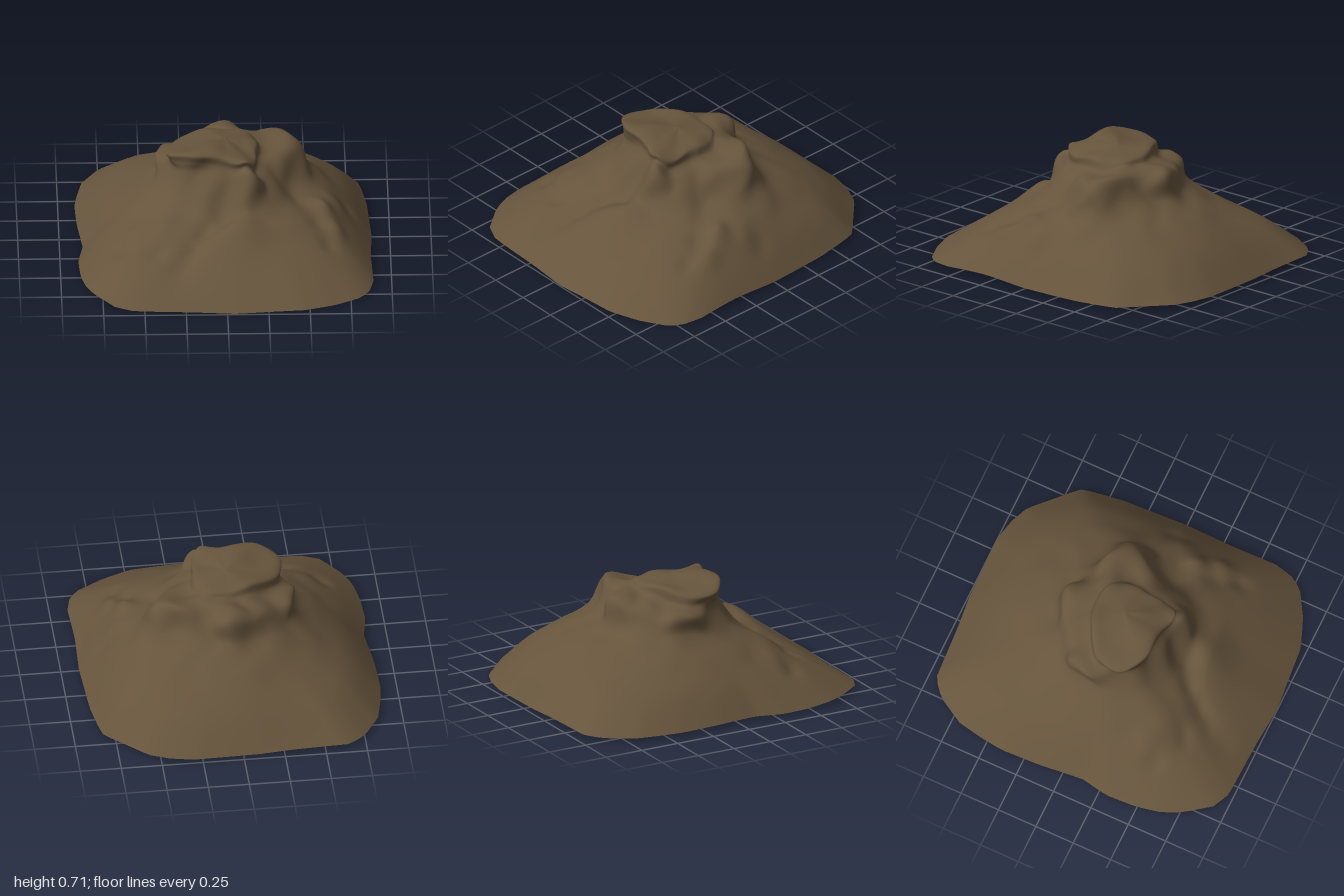
import * as THREE from 'three';

// plan outline of the foot of the hill (x, z), going from +x towards +z
const RIM = [
  [0.89, 0], [0.88, 0.3], [0.89, 0.6], [0.86, 0.73], [0.8, 0.8], [0.65, 0.89], [0.47, 0.96], [0.25, 0.98],
  [0.05, 1], [-0.2, 0.98], [-0.57, 0.97], [-0.68, 0.92], [-0.8, 0.76], [-0.85, 0.65], [-0.88, 0.5], [-0.89, 0.3],
  [-0.86, 0.13], [-0.89, -0.15], [-0.9, -0.4], [-0.88, -0.55], [-0.85, -0.7], [-0.75, -0.87], [-0.65, -0.95],
  [-0.3, -0.97], [-0.1, -0.99], [0.31, -1], [0.45, -0.97], [0.57, -0.92], [0.82, -0.68], [0.84, -0.6], [0.87, -0.4],
];

// radius and height of the terraces at 16 equal compass steps from +x towards +z
const RIM_Y = [0.02, 0.03, 0.01, 0.015, 0.015, 0.02, 0.03, 0.02, 0.03, 0.03, 0.03, 0.035, 0.035, 0.035, 0.03, 0.02];
const SLOPE_R = [0.63, 0.66, 0.68, 0.58, 0.56, 0.58, 0.66, 0.62, 0.58, 0.6, 0.66, 0.62, 0.62, 0.64, 0.72, 0.66];
const SLOPE_Y = [0.31, 0.3, 0.28, 0.31, 0.32, 0.28, 0.28, 0.29, 0.31, 0.31, 0.3, 0.33, 0.35, 0.34, 0.31, 0.31];
const CLIFF_R = [0.5, 0.45, 0.46, 0.44, 0.4, 0.4, 0.42, 0.43, 0.42, 0.43, 0.44, 0.42, 0.43, 0.42, 0.44, 0.56];
const CLIFF_Y = [0.4, 0.38, 0.4, 0.39, 0.38, 0.39, 0.42, 0.43, 0.44, 0.45, 0.44, 0.45, 0.45, 0.46, 0.47, 0.42];
const LEDGE_R = [0.37, 0.29, 0.35, 0.36, 0.29, 0.28, 0.31, 0.34, 0.4, 0.42, 0.34, 0.36, 0.4, 0.32, 0.37, 0.48];
const LEDGE_Y = [0.55, 0.53, 0.53, 0.57, 0.55, 0.56, 0.57, 0.56, 0.55, 0.55, 0.56, 0.58, 0.6, 0.6, 0.61, 0.56];
const CAP_R = [0.19, 0.2, 0.26, 0.31, 0.25, 0.27, 0.33, 0.37, 0.33, 0.25, 0.2, 0.18, 0.18, 0.19, 0.2, 0.2];
const CAP_Y = [0.66, 0.65, 0.63, 0.65, 0.66, 0.68, 0.69, 0.66, 0.65, 0.67, 0.68, 0.675, 0.665, 0.66, 0.66, 0.66];

// local bumps and hollows: x, z, height, radius
const BUMPS = [
  [0.12, 0.51, 0.04, 0.11], [-0.02, 0.43, -0.03, 0.06], [-0.13, 0.5, -0.04, 0.06], [-0.21, 0.6, -0.04, 0.06],
  [-0.27, 0.7, -0.03, 0.07], [-0.31, 0.82, -0.02, 0.08], [-0.36, 0.46, 0.02, 0.09], [-0.42, 0.6, -0.03, 0.05],
  [0.6, 0.2, 0.04, 0.06], [0.56, 0.34, -0.03, 0.06], [0.68, 0.34, 0.03, 0.05], [0.62, 0.48, -0.03, 0.05],
  [-0.64, 0.5, -0.03, 0.05], [-0.55, 0.42, 0.02, 0.07], [0.68, 0.06, 0.02, 0.06], [0.75, -0.02, -0.02, 0.05],
  [-0.06, 0.17, 0.03, 0.13], [0.2, -0.1, -0.02, 0.06], [0.35, -0.18, 0.03, 0.1], [0.14, 0.32, 0.03, 0.06],
];

// periodic smooth lookup in a 16-step table
function around(table, a) {
  const t = (a / (Math.PI * 2)) * 16, i = Math.floor(t), f = t - i;
  const p = (k) => table[(i + k + 16) % 16];
  return p(0) + 0.5 * f * (p(1) - p(-1) + f * (2 * p(-1) - 5 * p(0) + 4 * p(1) - p(2)
    + f * (3 * (p(0) - p(1)) + p(2) - p(-1))));
}

// distance from the centre to the outline along a bearing
function rimRadius(a) {
  const c = Math.cos(a), s = Math.sin(a);
  for (let i = 0; i < RIM.length; i++) {
    const [x1, z1] = RIM[i], [x2, z2] = RIM[(i + 1) % RIM.length];
    const d1 = c * z1 - s * x1, d2 = c * z2 - s * x2;
    if (d1 <= 1e-9 && d2 > 1e-9) {
      const f = d1 / (d1 - d2);
      return Math.hypot(x1 + (x2 - x1) * f, z1 + (z2 - z1) * f);
    }
  }
  return 0.89;
}

// one radial section from the foot of the hill to the summit
function section(a) {
  const at = (r, y) => new THREE.Vector3(Math.cos(a) * r, y, Math.sin(a) * r);
  const rim = rimRadius(a), rimY = around(RIM_Y, a);
  const slope = around(SLOPE_R, a), slopeY = around(SLOPE_Y, a);
  const ledge = around(LEDGE_R, a), ledgeY = around(LEDGE_Y, a);
  const cap = around(CAP_R, a), capY = around(CAP_Y, a);
  return new THREE.CatmullRomCurve3([
    at(rim, rimY),
    at((rim + slope) / 2, (rimY + slopeY) / 2 + 0.015 - 0.012 * Math.sin(a)),
    at(slope, slopeY),
    at(around(CLIFF_R, a), around(CLIFF_Y, a)),
    at(ledge, ledgeY),
    at(cap * 0.8 + ledge * 0.2 - 0.01, ledgeY * 0.5 + capY * 0.5),
    at(cap, capY),
    at(cap * 0.55, capY * 0.45 + 0.38),
    at(0, 0.692),
  ]);
}

function hillGeometry(sides = 128, rings = 56) {
  const position = [], index = [];
  for (let i = 0; i < sides; i++) {
    const curve = section((i / sides) * Math.PI * 2);
    for (let j = 0; j < rings; j++) {
      const t = j / rings, p = curve.getPoint(t);
      const fade = Math.min(1, t * 6);
      for (const [x, z, h, r] of BUMPS) {
        p.y += fade * h * Math.exp(-((p.x - x) ** 2 + (p.z - z) ** 2) / (r * r));
      }
      // weathered unevenness on the rocky crown
      const rough = 0.01 * Math.exp(-(((t - 0.52) / 0.2) ** 2));
      const { x, y, z } = p;
      p.x += rough * Math.sin(z * 27 + y * 21);
      p.y += rough * Math.sin(x * 23 + 2 * Math.sin(z * 13));
      p.z += rough * Math.sin(x * 29 - y * 17);
      position.push(p.x, p.y, p.z);
    }
  }
  const top = position.length / 3;
  position.push(0, 0.7, 0);
  for (let i = 0; i < sides; i++) {
    const a = i * rings, b = ((i + 1) % sides) * rings;
    for (let j = 0; j < rings - 1; j++) {
      index.push(a + j, a + j + 1, b + j, b + j, a + j + 1, b + j + 1);
    }
    index.push(a + rings - 1, top, b + rings - 1);
  }
  const geometry = new THREE.BufferGeometry();
  geometry.setAttribute('position', new THREE.Float32BufferAttribute(position, 3));
  geometry.setIndex(index);
  geometry.computeVertexNormals();
  return geometry;
}

export function createModel() {
  const group = new THREE.Group();
  group.name = 'rockyHill';
  const earth = new THREE.MeshStandardMaterial({ color: 0x66543c, side: THREE.DoubleSide });
  earth.name = 'brown earth';
  // hollow hill shell, open underneath
  const hill = new THREE.Mesh(hillGeometry(), earth);
  hill.name = 'hillShell';
  group.add(hill);
  return group;
}
